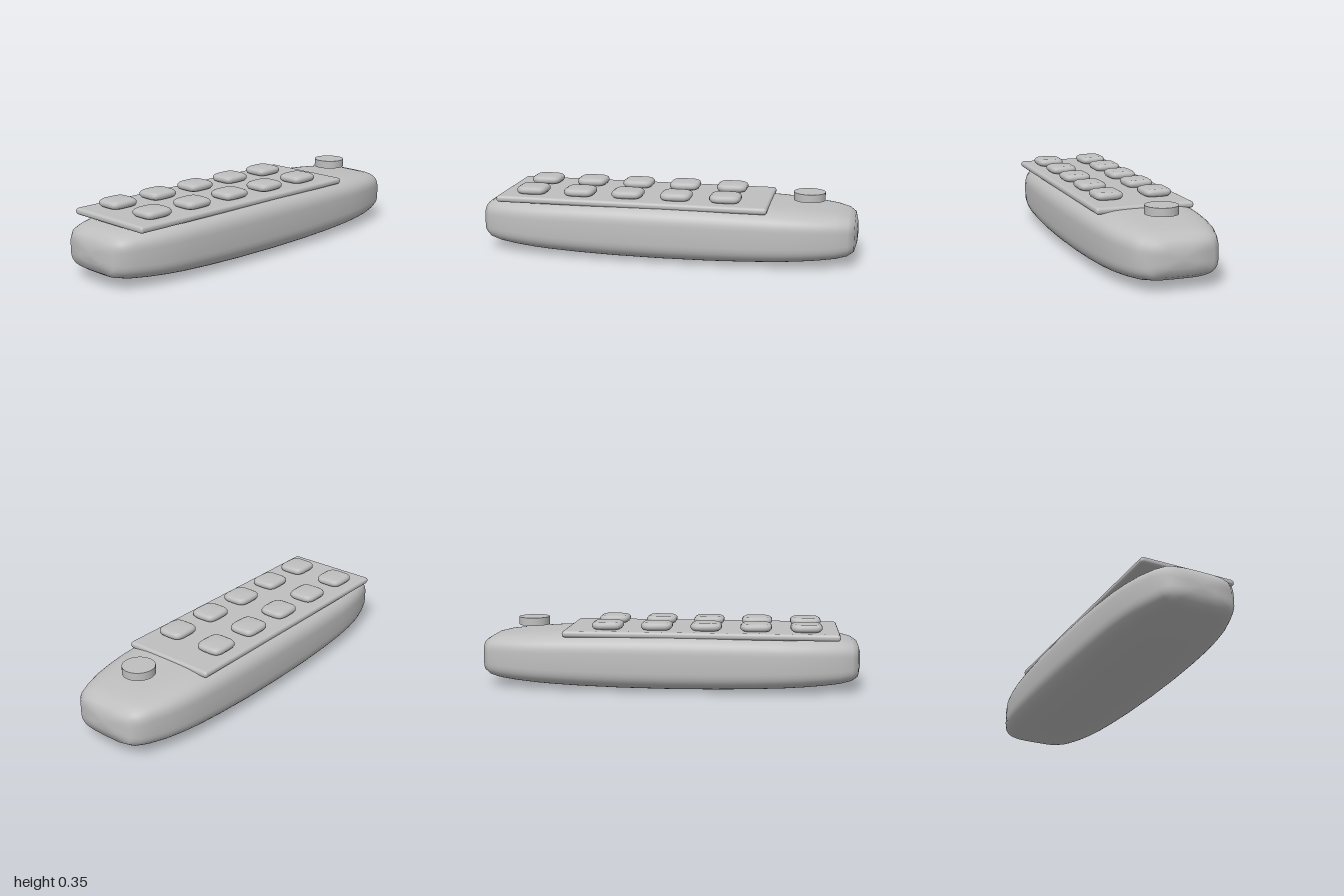
import * as THREE from 'three';
import { mergeVertices } from 'three/addons/utils/BufferGeometryUtils.js';
import { RoundedBoxGeometry } from 'three/addons/geometries/RoundedBoxGeometry.js';

// Closed loft of rounded-square rings stacked along y; each ring is [height, half x, half z]
function loft(rings, power, segments) {
  const positions = [], index = [];
  const bend = (v) => Math.sign(v) * Math.pow(Math.abs(v), 2 / power);
  for (const [y, a, b] of rings) {
    for (let i = 0; i < segments; i++) {
      const t = (i / segments) * Math.PI * 2;
      positions.push(a * bend(Math.cos(t)), y, b * bend(Math.sin(t)));
    }
  }
  for (let j = 0; j < rings.length - 1; j++) {
    for (let i = 0; i < segments; i++) {
      const k = (i + 1) % segments;
      const A = j * segments + i, B = j * segments + k;
      const C = A + segments, D = B + segments;
      if (j > 0) index.push(A, C, B);
      else index.push(A, C, D);
      if (j > 0 && j < rings.length - 2) index.push(B, C, D);
    }
  }
  const geometry = new THREE.BufferGeometry();
  geometry.setAttribute('position', new THREE.Float32BufferAttribute(positions, 3));
  geometry.setIndex(index);
  const merged = mergeVertices(geometry, 1e-5);
  merged.computeVertexNormals();
  return merged;
}

export function createModel() {
  const group = new THREE.Group();
  const grey = new THREE.MeshStandardMaterial({ color: 0xbfbfbf });
  grey.name = 'grey plastic';

  const add = (name, geometry, x, y, z, parent = group) => {
    const mesh = new THREE.Mesh(geometry, grey);
    mesh.name = name;
    mesh.position.set(x, y, z);
    parent.add(mesh);
    return mesh;
  };

  // Pebble-shaped body: half profile from the tip to the middle, mirrored
  const half = [
    [1, 0, 0], [0.996, 0.08, 0.045], [0.983, 0.165, 0.085], [0.95, 0.2, 0.105],
    [0.89, 0.224, 0.119], [0.8, 0.253, 0.128], [0.7, 0.272, 0.136], [0.6, 0.284, 0.142],
    [0.45, 0.294, 0.148], [0.25, 0.302, 0.153],
  ];
  const rings = [
    ...half.map(([z, a, b]) => [-z, a, b]),
    [0, 0.305, 0.155],
    ...half.slice().reverse(),
  ];
  add('body', loft(rings, 3.8, 56).rotateX(Math.PI / 2), 0, 0.155, 0);

  // Keypad plate lying on the top
  add('keypadPlate', new RoundedBoxGeometry(0.51, 0.034, 1.43, 4, 0.015), 0, 0.296, 0.17);

  // Two columns of five cushion buttons
  const buttonRings = [
    [-0.021, 0, 0], [-0.02, 0.058, 0.064], [-0.014, 0.069, 0.075], [-0.006, 0.0745, 0.081],
    [0.006, 0.0745, 0.081], [0.014, 0.069, 0.075], [0.02, 0.058, 0.064], [0.021, 0, 0],
  ];
  const buttonGeometry = loft(buttonRings, 4, 32);
  const buttons = new THREE.Group();
  buttons.name = 'buttons';
  group.add(buttons);
  for (let row = 0; row < 5; row++) {
    for (const side of [-1, 1]) {
      add('button', buttonGeometry, side * 0.13, 0.333, -0.32 + row * 0.2585, buttons);
    }
  }

  // Round power button at the far end
  add('powerButton', new THREE.CylinderGeometry(0.082, 0.082, 0.042, 32), 0, 0.333, -0.742);

  return group;
}
